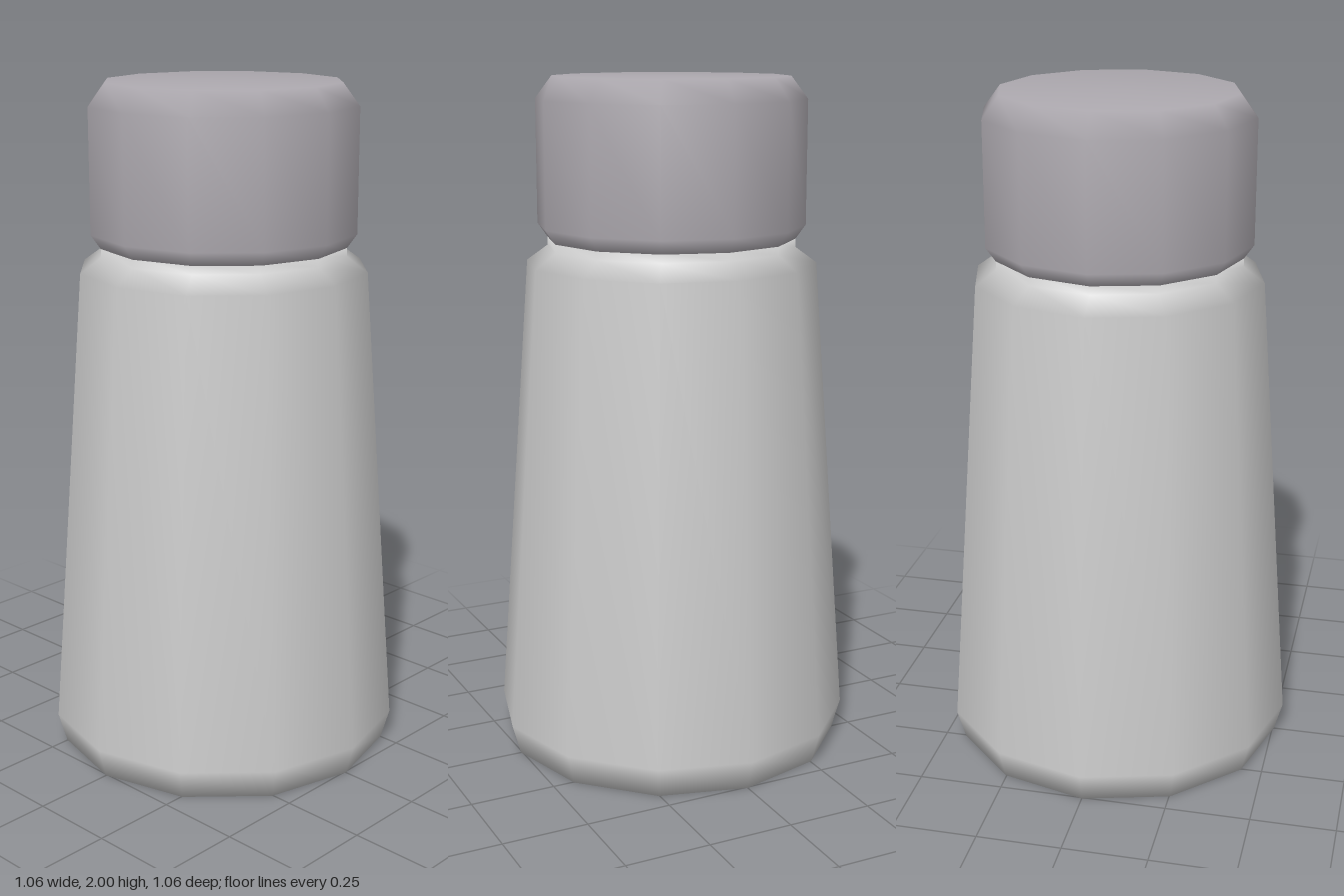
import * as THREE from 'three';

const SIDES = 12;

// Smooth-shaded turned part from [radius, height] pairs, listed bottom to top
function turned(name, profile, color) {
  const points = profile.map(([r, y]) => new THREE.Vector2(r, y));
  const mesh = new THREE.Mesh(
    new THREE.LatheGeometry(points, SIDES),
    new THREE.MeshStandardMaterial({ color })
  );
  mesh.name = name;
  return mesh;
}

export function createModel() {
  const group = new THREE.Group();
  group.name = 'shaker';

  // Tapered body with a bevelled foot and sloping shoulder
  group.add(turned('body', [
    [0, 0], [0.505, 0], [0.53, 0.09], [0.427, 1.465], [0.365, 1.51], [0.365, 1.54], [0, 1.54],
  ], 0xcccccc));

  // Bevelled cap
  group.add(turned('cap', [
    [0, 1.53], [0.362, 1.53], [0.394, 1.575], [0.394, 1.935], [0.345, 2], [0, 2],
  ], 0xaca8ae));

  return group;
}
